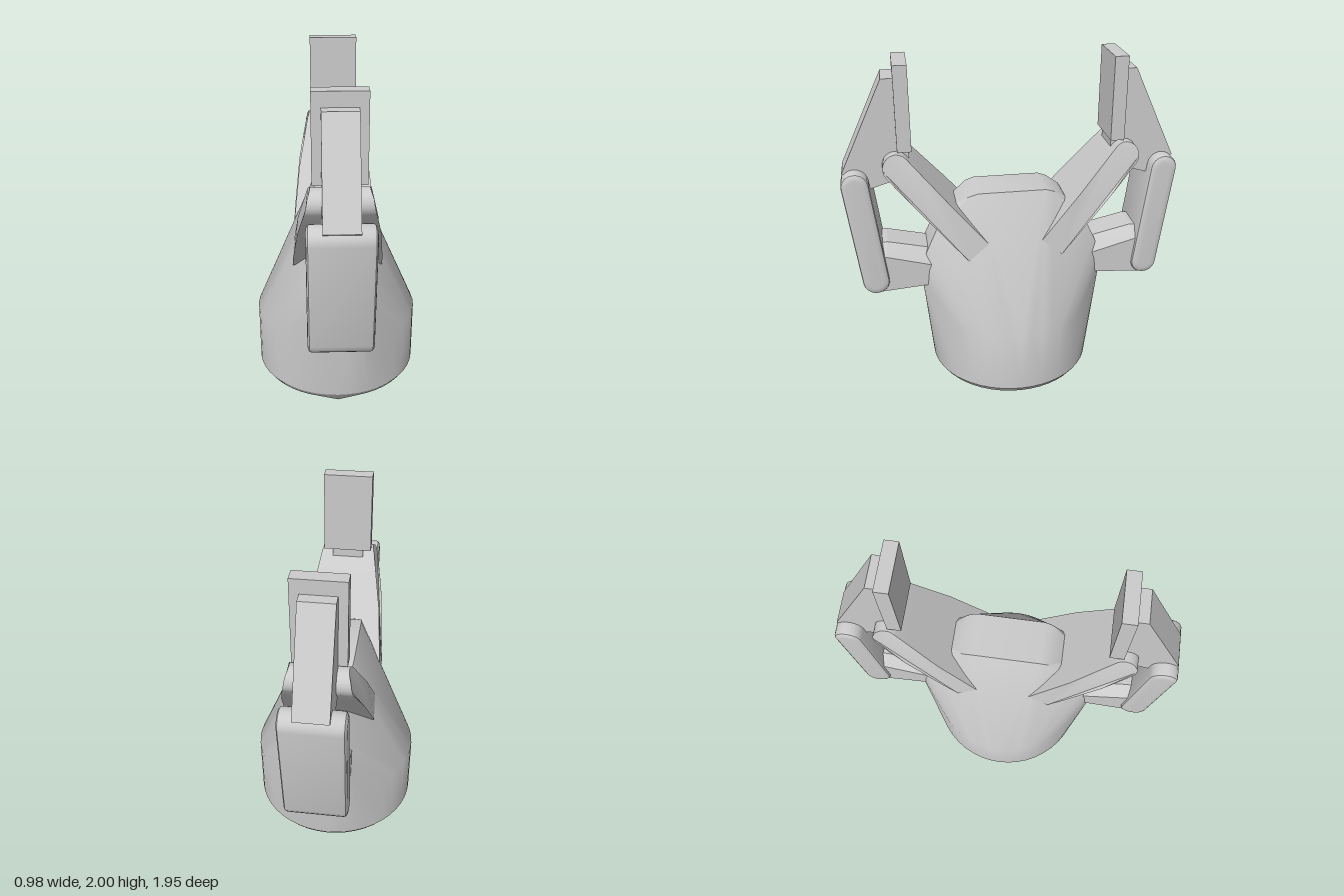
import * as THREE from 'three';
import { toCreasedNormals } from 'three/addons/utils/BufferGeometryUtils.js';
import { ConvexGeometry } from 'three/addons/geometries/ConvexGeometry.js';

const material = new THREE.MeshStandardMaterial({ color: 0xcccccc });

function part(name, geometry, crease = 0.5) {
  const mesh = new THREE.Mesh(toCreasedNormals(geometry, crease), material);
  mesh.name = name;
  return mesh;
}

// Extrude a [z, y] outline across x, centred on x = 0
function slab(points, halfWidth, bevel = 0, inset = 0) {
  const shape = new THREE.Shape(points.map(([z, y]) => new THREE.Vector2(z, y)));
  const geometry = new THREE.ExtrudeGeometry(shape, {
    depth: 2 * (halfWidth - bevel), bevelEnabled: bevel > 0, bevelThickness: bevel,
    bevelSize: inset, bevelOffset: -inset, bevelSegments: 3,
  });
  return geometry.translate(0, 0, bevel - halfWidth).rotateY(-Math.PI / 2);
}

// Points of a half circle around [z, y], starting at angle a
function arc([z, y], r, a, n = 10) {
  return Array.from({ length: n + 1 }, (_, i) => {
    const t = a + (Math.PI * i) / n;
    return [z + r * Math.cos(t), y + r * Math.sin(t)];
  });
}

// Piecewise linear lookup in [key, value] pairs
function lookup(table, key) {
  for (let i = 1; i < table.length; i++) {
    const [k0, v0] = table[i - 1], [k1, v1] = table[i];
    if (key <= k1 || i === table.length - 1) {
      return THREE.MathUtils.lerp(v0, v1, THREE.MathUtils.clamp((key - k0) / (k1 - k0), 0, 1));
    }
  }
}

// Housing: round base blending into a narrow rounded slab
function bodyGeometry() {
  const points = [new THREE.Vector3(0, 0, 0.43)];
  for (const [r, y] of [[0.465, 0.045], [0.49, 0.08], [0.49, 0.45]]) {
    for (let i = 0; i < 48; i++) {
      const a = (i / 48) * Math.PI * 2;
      points.push(new THREE.Vector3(r * Math.sin(a), y, r * Math.cos(a)));
    }
  }
  const profile = [[0.2, 1.222, 0.13], [0.25, 1.205, 0.125], [0.315, 1.165, 0.09], [0.40, 1.06, 0.1],
    [0.445, 1.01, 0.11], [0.51, 0.87, 0.12], [0.535, 0.8, 0.12], [0.547, 0.69, 0.12]];
  for (const [z, y, x] of profile) {
    for (const sx of [-1, 1]) for (const sz of [-1, 1]) points.push(new THREE.Vector3(sx * x, y, sz * z));
  }
  return new ConvexGeometry(points);
}

// Inner arm: plate with a round outer end, widening toward the housing
function innerArmGeometry() {
  const start = new THREE.Vector2(0.217, 0.905), end = new THREE.Vector2(0.66, 1.425), r = 0.077;
  const dir = end.clone().sub(start).normalize();
  const side = new THREE.Vector2(dir.y, -dir.x).multiplyScalar(r);
  const outline = [];
  for (let i = 0; i < 6; i++) outline.push(start.clone().lerp(end, i / 6).add(side).toArray());
  outline.push(...arc(end.toArray(), r, side.angle()));
  for (let i = 5; i >= 0; i--) outline.push(start.clone().lerp(end, i / 6).sub(side).toArray());
  const geometry = slab(outline, 1);
  const widths = [[0.85, 0.262], [0.95, 0.255], [1.22, 0.222], [1.41, 0.178], [1.47, 0.168], [1.5, 0.155]];
  const p = geometry.attributes.position;
  for (let i = 0; i < p.count; i++) p.setX(i, p.getX(i) * lookup(widths, p.getY(i)));
  return geometry;
}

// Outer link: rounded bar with softened sides
function outerLinkGeometry() {
  const top = new THREE.Vector2(0.897, 1.327), bottom = new THREE.Vector2(0.82, 0.71);
  const a = top.clone().sub(bottom).angle() - Math.PI / 2;
  const outline = [...arc(top.toArray(), 0.078, a), ...arc(bottom.toArray(), 0.078, a + Math.PI)];
  return slab(outline, 0.178, 0.022, 0.035);
}

// Knuckle block: bevelled bracket from the housing to the outer link
function knuckleGeometry() {
  const corners = [[0.09, 0.935, 0.74], [0.09, 0.875, 0.48], [0.155, 0.865, 0.75], [0.155, 0.79, 0.48],
    [0.155, 0.635, 0.81], [0.155, 0.66, 0.48], [0.09, 0.93, 0.8], [0.155, 0.86, 0.82]];
  return new ConvexGeometry(corners.flatMap(([x, y, z]) =>
    [new THREE.Vector3(x, y, z), new THREE.Vector3(-x, y, z)]));
}

function createFinger() {
  const finger = new THREE.Group();
  finger.add(part('innerArm', innerArmGeometry()));
  finger.add(part('outerLink', outerLinkGeometry(), 0.6));
  finger.add(part('knuckle', knuckleGeometry(), 0.2));
  const tip = [[0.715, 1.918], [0.64, 1.918], [0.64, 1.515], [0.585, 1.515], [0.585, 1.455],
    [0.67, 1.325], [0.81, 1.283], [0.9, 1.33], [0.965, 1.385]];
  finger.add(part('fingertip', slab(tip.reverse(), 0.095), 0.2));
  const pad = part('gripPad', new THREE.BoxGeometry(0.29, 0.49, 0.08), 0.2);
  pad.position.set(0, 1.755, 0.61);
  finger.add(pad);
  return finger;
}

export function createModel() {
  const model = new THREE.Group();
  model.name = 'gripper';
  model.add(part('housing', bodyGeometry(), 0.45));
  ['frontFinger', 'backFinger'].forEach((name, i) => {
    const finger = createFinger();
    finger.name = name;
    finger.rotation.y = i * Math.PI;
    model.add(finger);
  });
  return model;
}
